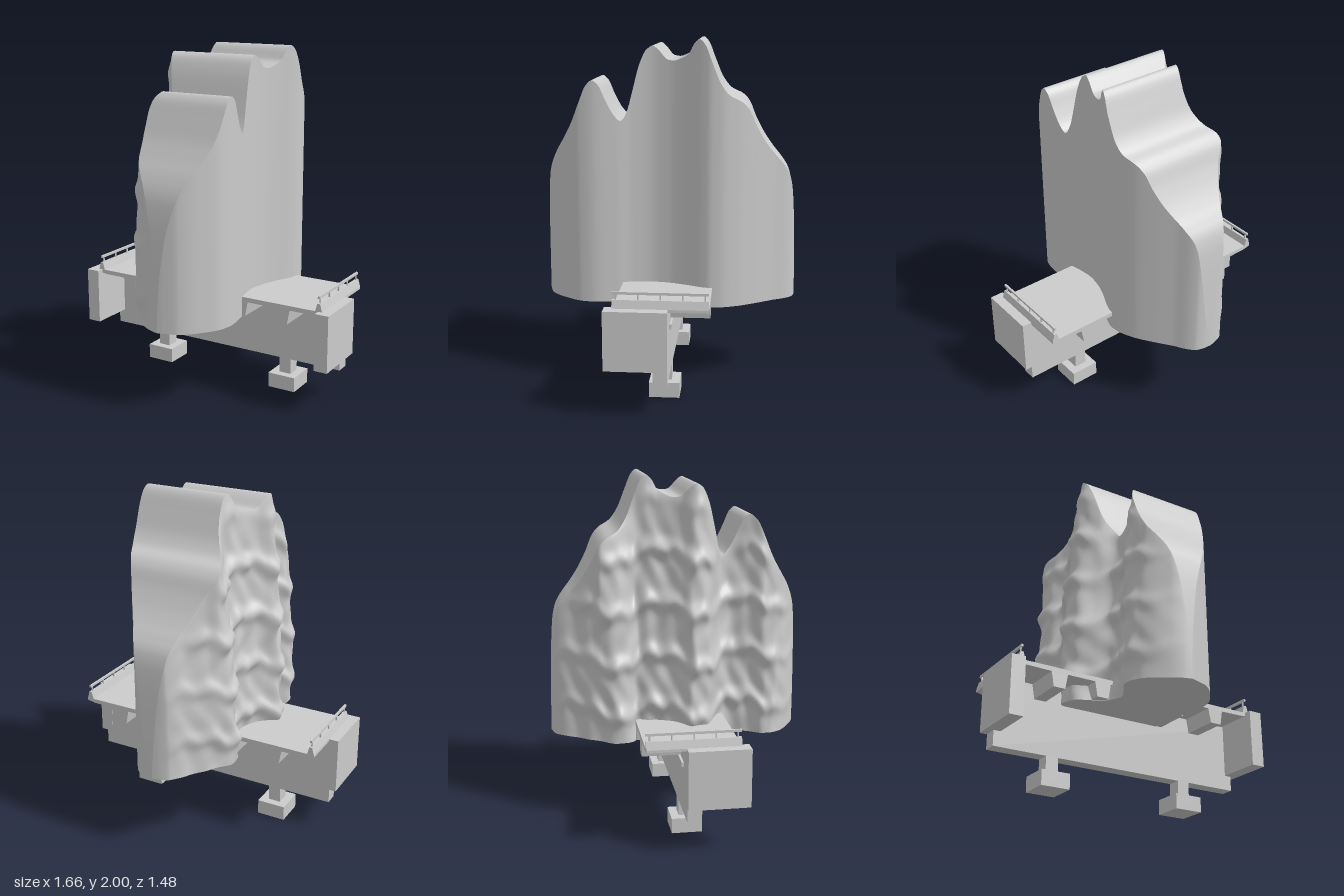
import * as THREE from 'three';
import { ParametricGeometry } from 'three/addons/geometries/ParametricGeometry.js';

const grey = new THREE.MeshStandardMaterial({ color: 0xcccccc, side: THREE.DoubleSide });
const BASE = 0.485, END = 0.74;

// Smooth (monotone) curve through [position, value] pairs
function curve(pts) {
  const n = pts.length;
  const d = i => (pts[i + 1][1] - pts[i][1]) / (pts[i + 1][0] - pts[i][0]);
  const slope = pts.map((_, i) => {
    if (i === 0) return d(0);
    if (i === n - 1) return d(n - 2);
    const a = d(i - 1), b = d(i);
    return a * b <= 0 ? 0 : 2 * a * b / (a + b);
  });
  return x => {
    x = Math.min(Math.max(x, pts[0][0]), pts[n - 1][0]);
    let i = 0;
    while (i < n - 2 && x > pts[i + 1][0]) i++;
    const h = pts[i + 1][0] - pts[i][0], t = (x - pts[i][0]) / h, q = 1 - t;
    return (1 + 2 * t) * q * q * pts[i][1] + t * q * q * h * slope[i]
      + t * t * (3 - 2 * t) * pts[i + 1][1] - t * t * q * h * slope[i + 1];
  };
}

// Ridge height, and plan outlines: smooth side, rough side at the foot and at the rim
const ridge = curve([[-0.74, BASE], [-0.735, 0.72], [-0.722, 1.05], [-0.71, 1.17], [-0.69, 1.24], [-0.65, 1.3],
  [-0.6, 1.36], [-0.55, 1.43], [-0.5, 1.52], [-0.46, 1.61], [-0.42, 1.655], [-0.35, 1.695], [-0.3, 1.76],
  [-0.25, 1.88], [-0.21, 1.975], [-0.18, 2], [-0.15, 1.975], [-0.12, 1.92], [-0.08, 1.895], [-0.035, 1.88],
  [0, 1.885], [0.05, 1.935], [0.085, 1.96], [0.12, 1.94], [0.16, 1.86], [0.2, 1.71], [0.23, 1.6], [0.265, 1.54],
  [0.3, 1.57], [0.35, 1.66], [0.39, 1.745], [0.425, 1.77], [0.46, 1.74], [0.5, 1.65], [0.55, 1.53], [0.6, 1.44],
  [0.66, 1.34], [0.7, 1.24], [0.72, 1.1], [0.735, 0.8], [0.74, BASE]]);
const smoothSide = curve([[-0.74, 0], [-0.735, 0.05], [-0.715, 0.1], [-0.6, 0.18], [-0.5, 0.25], [-0.4, 0.31],
  [-0.3, 0.345], [-0.25, 0.348], [-0.2, 0.335], [-0.1, 0.29], [0, 0.255], [0.1, 0.24], [0.2, 0.25], [0.3, 0.275],
  [0.42, 0.292], [0.5, 0.28], [0.6, 0.22], [0.7, 0.12], [0.73, 0.04], [0.74, 0]]);
const roughFoot = curve([[-0.74, 0], [-0.73, -0.05], [-0.71, -0.1], [-0.6, -0.18], [-0.5, -0.26], [-0.45, -0.29],
  [-0.37, -0.34], [-0.3, -0.31], [-0.24, -0.25], [-0.18, -0.27], [-0.1, -0.29], [0, -0.35], [0.06, -0.41],
  [0.15, -0.38], [0.2, -0.29], [0.25, -0.21], [0.3, -0.19], [0.4, -0.21], [0.5, -0.27], [0.55, -0.27],
  [0.6, -0.24], [0.65, -0.19], [0.7, -0.11], [0.73, -0.04], [0.74, 0]]);
const roughRim = curve([[-0.74, 0], [-0.73, -0.03], [-0.71, -0.08], [-0.6, -0.14], [-0.5, -0.21], [-0.45, -0.27],
  [-0.36, -0.23], [-0.24, -0.16], [-0.18, -0.17], [-0.1, -0.2], [0, -0.25], [0.09, -0.3], [0.2, -0.24],
  [0.25, -0.15], [0.35, -0.125], [0.42, -0.145], [0.5, -0.2], [0.6, -0.19], [0.7, -0.09], [0.73, -0.03], [0.74, 0]]);

// Rough cliff: spreads from rim to foot, with ledges, furrows and wandering columns
function cliffX(y, z) {
  const s = THREE.MathUtils.clamp((ridge(z) - y) / Math.max(ridge(z) - BASE, 1e-4), 0, 1);
  const spread = Math.pow(Math.sin(s * Math.PI / 2), 0.75);
  const taper = Math.max(0, 1 - Math.pow(z / END, 4));
  const zz = z + 0.018 * taper * s * Math.sin(y * 11 + 3 * z);
  const x = THREE.MathUtils.lerp(roughRim(z), roughFoot(zz), spread);
  const phase = (y - 0.67) / 0.3 + 0.12 * Math.sin(z * 13) + 0.05 * Math.sin(z * 41);
  const ledge = Math.pow(0.5 + 0.5 * Math.cos(phase * 2 * Math.PI), 4) - 0.35;
  const furrow = Math.sin(z * 46 + 2 * Math.sin(y * 8)) * Math.sin(y * 17 + z * 9);
  return x - taper * Math.min(1, s * 6) * (0.03 * ledge + 0.009 * furrow);
}

function createRock() {
  const rock = new THREE.Group();
  rock.name = 'rock';
  // Each skin runs across one part of the section (u) and from back to front (v)
  const skin = (name, point, across) => {
    const geo = new ParametricGeometry((u, v, target) => {
      const z = END * Math.sin((v - 0.5) * Math.PI);
      const [x, y] = point(u, z);
      target.set(x, y, z);
    }, across, 200);
    geo.computeVertexNormals();
    const mesh = new THREE.Mesh(geo, grey);
    mesh.name = name;
    rock.add(mesh);
  };
  const lerp = THREE.MathUtils.lerp;
  skin('smoothFace', (u, z) => [smoothSide(z), lerp(BASE, ridge(z), u)], 4);
  skin('ridgeTop', (u, z) => [lerp(smoothSide(z), roughRim(z), u), ridge(z)], 4);
  skin('roughCliff', (u, z) => {
    const y = lerp(ridge(z), BASE, u);
    return [cliffX(y, z), y];
  }, 90);
  skin('underside', (u, z) => [lerp(cliffX(BASE, z), smoothSide(z), u), BASE], 2);
  return rock;
}

export function createModel() {
  const model = new THREE.Group();
  const add = (name, geo, x = 0, y = 0, z = 0) => {
    const mesh = new THREE.Mesh(geo, grey);
    mesh.name = name;
    mesh.position.set(x, y, z);
    model.add(mesh);
    return mesh;
  };
  // Box from its lower and upper corners
  const box = (name, x0, x1, y0, y1, z0, z1) => add(name, new THREE.BoxGeometry(x1 - x0, y1 - y0, z1 - z0),
    (x0 + x1) / 2, (y0 + y1) / 2, (z0 + z1) / 2);
  // Profile in x and y, extruded from z0 to z1
  const extrude = (name, pts, z0, z1) => add(name, new THREE.ExtrudeGeometry(
    new THREE.Shape(pts.map(p => new THREE.Vector2(...p))), { depth: z1 - z0, bevelEnabled: false }), 0, 0, z0);

  model.add(createRock());

  // Deck with tapered ribs underneath
  const under = [];
  for (const c of [-0.52, -0.25, 0.25, 0.52])
    under.push([c - 0.05, 0.573], [c - 0.035, 0.488], [c + 0.035, 0.488], [c + 0.05, 0.573]);
  extrude('deck', [[-0.77, 0.6], [-0.77, 0.585], [-0.72, 0.575], ...under,
    [0.72, 0.575], [0.77, 0.585], [0.77, 0.6]], -0.26, 0.26);

  // Cross girder and the shallow plate on its back
  box('girder', -0.787, 0.787, 0.18, 0.575, -0.04, 0.04);
  extrude('girderPlate', [[-0.655, 0.48], [-0.655, 0.452], [-0.44, 0.415], [0.44, 0.415],
    [0.655, 0.452], [0.655, 0.48]], -0.053, -0.03);

  for (const s of [-1, 1]) {
    const mid = (name, c, w, ...rest) => box(name, s * c - w / 2, s * c + w / 2, ...rest);
    mid('endBlock', 0.787, 0.082, 0.267, 0.6, -0.042, 0.303);
    mid('leg', 0.434, 0.075, 0.08, 0.19, -0.04, 0.04);
    mid('foot', 0.434, 0.172, 0, 0.088, -0.087, 0.087);

    // Parapet with posts and a handrail
    const parapet = [[0.728, 0.6], [0.74, 0.645], [0.757, 0.645], [0.77, 0.6]].map(([x, y]) => [s * x, y]);
    extrude('parapet', s > 0 ? parapet.reverse() : parapet, -0.26, 0.26);
    for (let i = 0; i < 5; i++) {
      const z = -0.24 + i * 0.12;
      mid('railPost', 0.748, 0.007, 0.64, 0.68, z - 0.004, z + 0.004);
    }
    mid('handrail', 0.748, 0.012, 0.674, 0.688, -0.26, 0.26);
  }
  return model;
}
